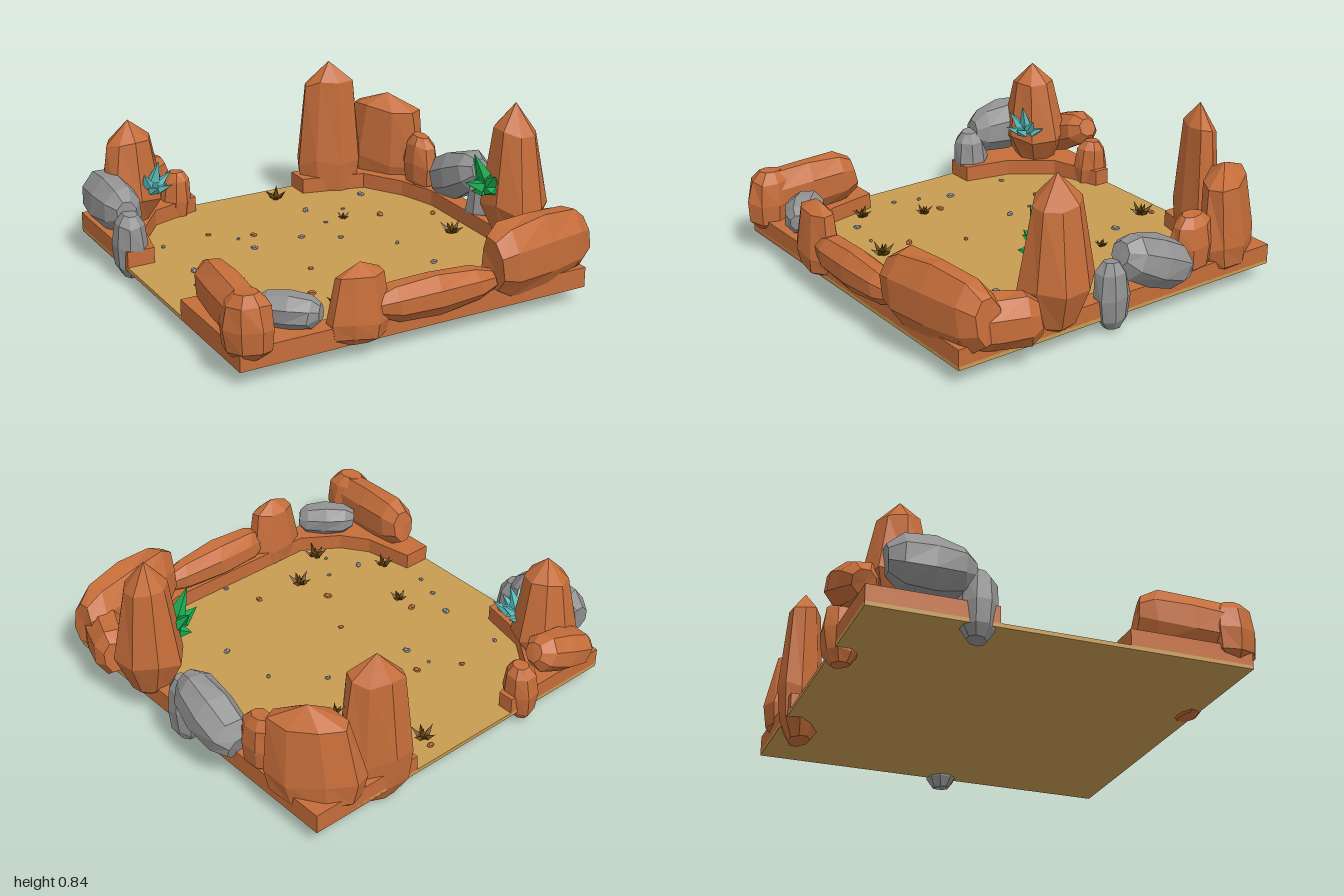
import * as THREE from 'three';

const COLORS = { sand: 0xc89c52, clay: 0xc56d3a, stone: 0x929292, cyan: 0x5cc0c0, green: 0x18ac50, twig: 0x66450f };
const mats = {};
for (const k in COLORS) mats[k] = new THREE.MeshStandardMaterial({ color: COLORS[k], flatShading: true });

// Outline profiles: [position along the axis, relative radius]
const BOULDER = [[0, 0], [0, 0.5], [0.16, 0.88], [0.5, 1], [0.85, 0.84], [1, 0.45], [1, 0]];
const SLAB = [[0, 0], [0, 0.7], [0.14, 0.95], [0.5, 1], [0.86, 0.92], [1, 0.6], [1, 0]];
const SPIRE = [[0, 0], [0, 0.25], [0.06, 0.55], [0.31, 1], [0.82, 0.65], [1, 0]];
const PILLAR = [[0, 0], [0, 0.5], [0.1, 0.88], [0.3, 1], [0.85, 0.76], [1, 0]];
const SHARD = [[0, 0], [0.4, 1], [1, 0]];

// Faceted body along the axis from a to b, w wide and d deep, turned about its axis
function rock(name, color, a, b, w, d, profile = BOULDER, turn = 0, sides = 8) {
  const A = new THREE.Vector3(...a), Y = new THREE.Vector3(...b).sub(A);
  const len = Y.length();
  Y.normalize();
  const X = Math.abs(Y.y) > 0.9 ? new THREE.Vector3(1, 0, 0) : new THREE.Vector3(0, 1, 0).cross(Y);
  const Z = X.clone().cross(Y).normalize();
  X.copy(Y).cross(Z);
  const geo = new THREE.LatheGeometry(profile.map(([t, r]) => new THREE.Vector2(r, t)), sides, Math.PI / sides);
  const p = geo.attributes.position;
  // smooth irregularity so no two rocks share an outline
  if (sides > 5) for (let i = 0; i < p.count; i++) {
    const x = p.getX(i), y = p.getY(i), z = p.getZ(i);
    const k = 1 + 0.07 * Math.sin(3 * x + 5 * y + 9 * a[0]) * Math.cos(4 * z + 7 * a[2]);
    p.setXYZ(i, x * k, y + 0.035 * Math.sin(2 * x + 3 * z + 8 * a[2]) * Math.hypot(x, z), z * k);
  }
  const fit = 0.5 / Math.cos(Math.PI / sides);
  geo.scale(w * fit, len, d * fit).rotateY(turn);
  geo.applyMatrix4(new THREE.Matrix4().makeBasis(X, Y, Z).setPosition(A));
  const flat = geo.toNonIndexed();
  flat.computeVertexNormals();
  const mesh = new THREE.Mesh(flat, mats[color]);
  mesh.name = name;
  return mesh;
}

// Flat plate with an [x, z] outline
function plate(name, color, outline, y0, y1) {
  const shape = new THREE.Shape(outline.map(([x, z]) => new THREE.Vector2(x, -z)));
  const geo = new THREE.ExtrudeGeometry(shape, { depth: y1 - y0, bevelEnabled: false });
  geo.rotateX(-Math.PI / 2).translate(0, y0, 0);
  const mesh = new THREE.Mesh(geo, mats[color]);
  mesh.name = name;
  return mesh;
}

// Fan of pointed shards; each tip is an offset from the root
function tuft(name, color, root, tips, width, sides = 4) {
  const g = new THREE.Group();
  g.name = name;
  for (const t of tips)
    g.add(rock('shard', color, root, root.map((v, i) => v + t[i]), width, width * 0.7, SHARD, 0, sides));
  return g;
}

export function createModel() {
  const model = new THREE.Group();
  model.name = 'desertArena';

  // Sand floor and raised corner ledges
  model.add(plate('sandFloor', 'sand', [[-0.94, -0.91], [0.87, -0.91], [0.87, 0.9], [-0.94, 0.9]], 0.065, 0.085));
  model.add(plate('backLedge', 'clay', [[-0.94, -0.91], [-0.34, -0.91], [-0.34, -0.83], [-0.6, -0.75],
    [-0.75, -0.55], [-0.8, -0.31], [-0.94, -0.31]], 0.066, 0.165));
  model.add(plate('frontLedge', 'clay', [[-0.94, 0.3], [-0.8, 0.3], [-0.75, 0.55], [-0.66, 0.68], [-0.48, 0.8],
    [0.35, 0.8], [0.6, 0.72], [0.73, 0.55], [0.78, 0.3], [0.78, -0.3], [0.72, -0.5], [0.6, -0.7], [0.27, -0.78],
    [0.27, -0.91], [0.87, -0.91], [0.87, 0.9], [-0.94, 0.9]], 0.066, 0.165));

  const rocks = [
    // back right corner and right side
    ['backPillar', 'clay', [0.45, 0.0, -0.82], [0.45, 0.79, -0.82], 0.33, 0.19, PILLAR, -0.45],
    ['cornerPillar', 'clay', [0.75, 0.08, -0.76], [0.75, 0.6, -0.71], 0.46, 0.22, PILLAR, -1.0],
    ['rightRock', 'clay', [0.81, 0.13, -0.46], [0.81, 0.42, -0.46], 0.15, 0.23],
    ['rightStone', 'stone', [0.87, 0.2, -0.36], [0.87, 0.37, 0.02], 0.23, 0.24],
    ['rightSmallStone', 'stone', [0.855, 0.01, 0.05], [0.855, 0.34, 0.06], 0.15, 0.16],
    ['rightSpire', 'clay', [0.84, 0.09, 0.35], [0.83, 0.83, 0.35], 0.3, 0.33, SPIRE],
    // front edge
    ['frontCornerBoulder', 'clay', [0.35, 0.28, 0.88], [0.92, 0.28, 0.78], 0.22, 0.36, SLAB],
    ['frontCornerRock', 'clay', [0.78, 0.22, 0.86], [0.92, 0.23, 0.51], 0.2, 0.25, SLAB],
    ['frontLongRock', 'clay', [-0.27, 0.215, 0.885], [0.35, 0.215, 0.88], 0.17, 0.19],
    ['frontRock', 'clay', [-0.35, 0.06, 0.87], [-0.34, 0.44, 0.87], 0.29, 0.16, PILLAR],
    ['frontStone', 'stone', [-0.75, 0.24, 0.68], [-0.53, 0.24, 0.87], 0.18, 0.16],
    // front left corner
    ['leftCornerRock', 'clay', [-0.87, 0.1, 0.84], [-0.87, 0.4, 0.83], 0.2, 0.25, BOULDER, 0.4],
    ['leftLongRock', 'clay', [-0.87, 0.26, 0.87], [-0.84, 0.29, 0.38], 0.18, 0.27, SLAB],
    // back left corner
    ['backLeftStone', 'stone', [-0.89, 0.32, -0.81], [-0.89, 0.32, -0.41], 0.22, 0.26],
    ['backLeftSmallStone', 'stone', [-0.89, 0.01, -0.4], [-0.89, 0.33, -0.39], 0.16, 0.17],
    ['backLeftSpire', 'clay', [-0.74, 0.12, -0.73], [-0.75, 0.69, -0.71], 0.32, 0.29, SPIRE, 0.4],
    ['backTiltedRock', 'clay', [-0.85, 0.22, -0.89], [-0.49, 0.36, -0.89], 0.21, 0.2],
    ['backSmallRock', 'clay', [-0.45, 0.01, -0.87], [-0.43, 0.31, -0.87], 0.15, 0.17],
  ];
  for (const r of rocks) model.add(rock(...r));

  // Crystal clusters
  model.add(tuft('cyanCrystal', 'cyan', [-0.68, 0.32, -0.62], [[0.03, 0.18, 0.05], [-0.06, 0.13, 0.07],
    [0.1, 0.11, 0.03], [-0.09, 0.09, 0.02], [0.07, 0.07, 0.12], [-0.01, 0.07, 0.13], [0.11, 0.06, -0.03]], 0.05));
  model.add(tuft('greenCrystal', 'green', [0.71, 0.4, 0.33], [[-0.1, 0.2, 0], [-0.15, 0.06, 0],
    [-0.03, 0.13, -0.11], [-0.06, 0.02, 0.1], [-0.04, 0.1, 0.09], [-0.07, -0.02, -0.06]], 0.065));

  // Dry twig tufts: x, z, size
  [[0.1, -0.77, 0.06], [0.28, -0.36, 0.035], [-0.57, 0.12, 0.045], [-0.72, 0.4, 0.05], [-0.27, 0.56, 0.06],
    [-0.5, 0.7, 0.06], [0.59, 0.59, 0.05], [0.66, 0.08, 0.06]].forEach(([x, z, s], n) => {
    const tips = [[0, s * 1.1, 0]];
    for (let i = 0; i < 6; i++) {
      const a = n + i * Math.PI / 3;
      tips.push([Math.cos(a) * s, s * (0.7 + 0.3 * (i % 2)), Math.sin(a) * s]);
    }
    model.add(tuft('dryTuft', 'twig', [x, 0.082, z], tips, s * 0.27, 3));
  });

  // Loose pebbles: x, z, length
  const pebbles = [[0.11, -0.83, 0.04], [0.53, -0.61, 0.045], [0.16, -0.55, 0.045], [-0.43, -0.49, 0.03],
    [-0.69, -0.46, 0.03], [0.34, -0.47, 0.025], [-0.23, -0.38, 0.04], [-0.32, -0.37, 0.025], [0.17, -0.35, 0.025],
    [0.47, -0.31, 0.045], [-0.03, -0.24, 0.04], [-0.3, -0.23, 0.04], [0.72, -0.19, 0.04], [0.14, -0.14, 0.03],
    [-0.68, -0.12, 0.045], [-0.57, 0.02, 0.045], [-0.74, 0.04, 0.03], [0.35, 0.06, 0.03], [-0.18, 0.13, 0.03],
    [-0.78, 0.17, 0.03], [0.38, 0.35, 0.04], [-0.31, 0.38, 0.045], [-0.62, 0.49, 0.04], [-0.44, 0.52, 0.025],
    [-0.02, 0.59, 0.04], [-0.53, 0.65, 0.025], [0.05, 0.78, 0.03]];
  const pebbleGeo = new THREE.DodecahedronGeometry(0.5);
  pebbles.forEach(([x, z, s], i) => {
    const m = new THREE.Mesh(pebbleGeo, mats[i % 3 ? 'stone' : 'clay']);
    m.name = 'pebble';
    m.position.set(x, 0.09, z);
    m.scale.set(s, s * 0.6, s * 0.7);
    m.rotation.y = i * 1.9;
    model.add(m);
  });
  return model;
}
